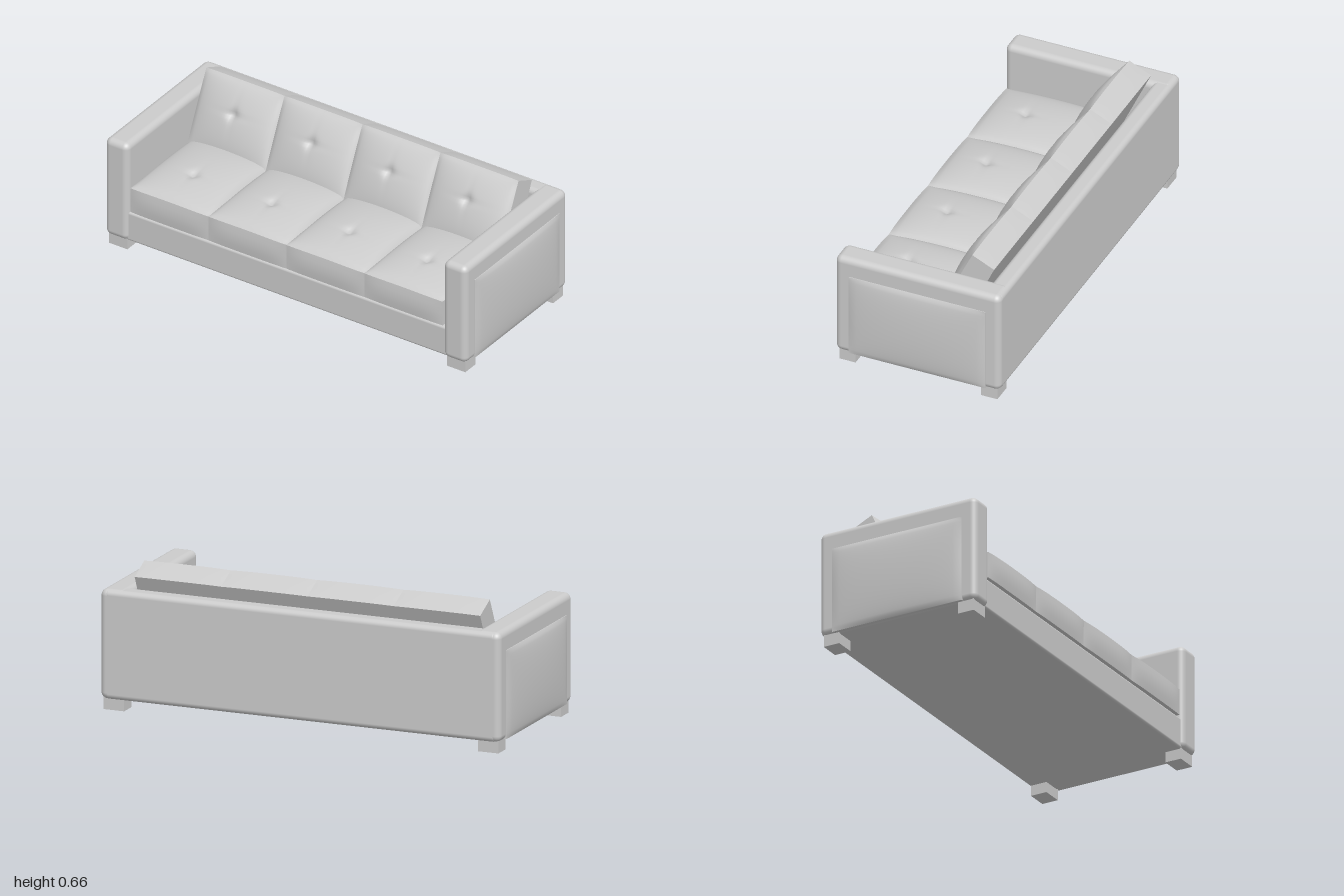
import * as THREE from 'three';
import { RoundedBoxGeometry } from 'three/addons/geometries/RoundedBoxGeometry.js';

const material = new THREE.MeshStandardMaterial({ color: 0xcccccc });

function part(parent, name, geometry, x = 0, y = 0, z = 0) {
  const mesh = new THREE.Mesh(geometry, material);
  mesh.name = name;
  mesh.position.set(x, y, z);
  parent.add(mesh);
  return mesh;
}

// Rounded block given by its limits on each axis
function block(parent, name, [x0, x1], [y0, y1], [z0, z1], radius) {
  const geometry = new RoundedBoxGeometry(x1 - x0, y1 - y0, z1 - z0, 4, radius);
  return part(parent, name, geometry, (x0 + x1) / 2, (y0 + y1) / 2, (z0 + z1) / 2);
}

// Flat-sided pad whose +y face swells into a dome, with an optional tufted button dimple.
// The rim of the domed face lies at y = 0 and the pad hangs below it.
function padGeometry(w, h, d, dome, { power = 0.6, tuftZ = null, swell = 0 } = {}) {
  const n = 32;
  const g = new THREE.BoxGeometry(w, h, d, n, 4, n);
  const p = g.attributes.position;
  for (let i = 0; i < p.count; i++) {
    const x = p.getX(i), y = p.getY(i) - h / 2, z = p.getZ(i);
    const u = Math.min(1, Math.abs(2 * x / w)), v = Math.min(1, Math.abs(2 * z / d));
    const t = (y + h) / h;
    let lift = dome * Math.pow((1 - u * u) * (1 - v * v), power);
    // the rim itself rises a little midway between corners
    lift += swell * 0.8 * ((1 - u * u) + (1 - v * v)) * 0.5;
    if (tuftZ !== null) {
      const dx = Math.abs(x), dz = Math.abs(z - tuftZ), r = Math.hypot(dx, dz);
      lift -= 0.014 * Math.exp(-r * r / 0.0006);
      lift -= 0.007 * Math.exp(-((Math.min(dx, dz) / 0.012) ** 2) - r / 0.04);
    }
    // side walls bow outwards along their length
    const bow = swell * Math.sin(Math.PI * Math.min(1, t * 0.75 + 0.1));
    const front = v > 0.999 ? Math.sign(z) * bow * (1 - u ** 4) : 0;
    p.setXYZ(i, x, y + lift * t * t, z + front);
  }
  g.computeVertexNormals();
  return g;
}

export function createModel() {
  const sofa = new THREE.Group();
  sofa.name = 'sofa';

  // Frame
  block(sofa, 'seatBase', [-0.9, 0.9], [0.05, 0.2], [-0.37, 0.39], 0.012);
  block(sofa, 'backrestFrame', [-0.96, 0.96], [0.05, 0.555], [-0.405, -0.315], 0.025);

  for (const s of [-1, 1]) {
    const side = s > 0 ? 'left' : 'right';
    const xs = s > 0 ? [0.85, 0.975] : [-0.975, -0.85];
    block(sofa, `${side}Arm`, xs, [0.05, 0.557], [-0.405, 0.405], 0.03);

    // Domed upholstered panel on the outside of the arm
    const panel = part(sofa, `${side}SidePanel`,
      padGeometry(0.41, 0.02, 0.67, 0.022, { power: 0.5 }), s * 0.978, 0.26, 0);
    panel.rotation.z = -s * Math.PI / 2;

    // Square feet
    for (const f of [-1, 1]) {
      part(sofa, `${side}${f > 0 ? 'Front' : 'Back'}Foot`,
        new THREE.BoxGeometry(0.1, 0.06, 0.08), s * 0.912, 0.03, f * 0.348);
    }
  }

  // Four seat cushions, each with a leaning back cushion
  const width = 0.425;
  const seat = padGeometry(width - 0.003, 0.125, 0.55, 0.048,
    { power: 0.5, tuftZ: 0.085, swell: 0.01 });
  const back = padGeometry(width - 0.003, 0.118, 0.37, 0.042,
    { power: 0.6, tuftZ: -0.03, swell: 0.005 });
  back.translate(0, 0, 0.185);
  for (let i = 0; i < 4; i++) {
    const x = (i - 1.5) * width * 0.99;
    part(sofa, `seatCushion${i + 1}`, seat, x, 0.332, 0.117);
    const cushion = part(sofa, `backCushion${i + 1}`, back, x, 0.655, -0.21);
    cushion.rotation.x = THREE.MathUtils.degToRad(65);
  }

  return sofa;
}
